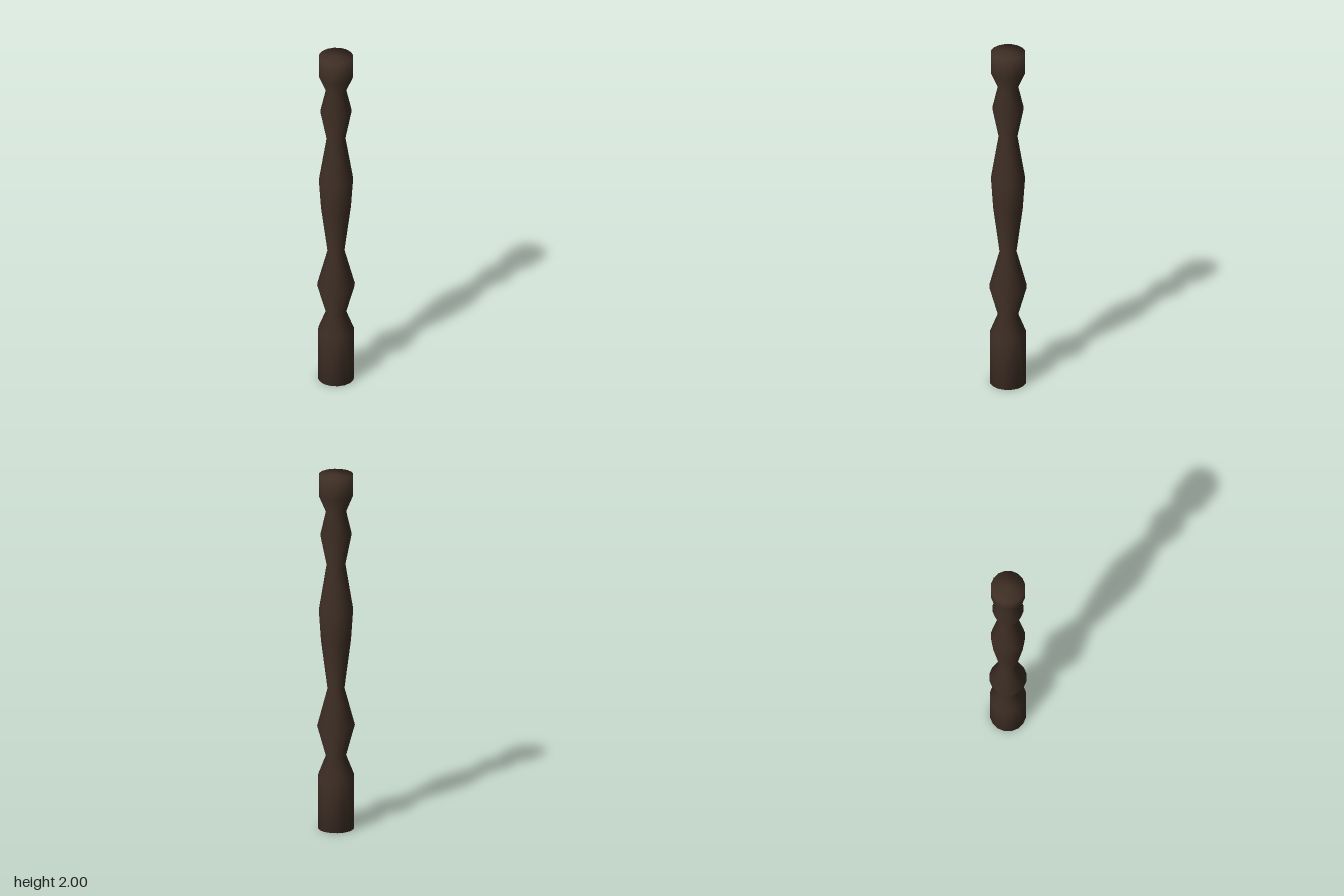
import * as THREE from 'three';

export function createModel() {
  const group = new THREE.Group();
  group.name = 'turnedSpindle';
  const darkWood = new THREE.MeshStandardMaterial({ color: 0x3f2f25 });
  darkWood.name = 'darkWood';

  // Turned profile as [radius, height], from the foot to the top
  const profile = [
    [0, 0], [0.098, 0], [0.098, 0.3], // foot block
    [0.055, 0.41], [0.102, 0.58], [0.046, 0.79], // lower bead
    [0.081, 1.06], [0.093, 1.235], [0.051, 1.49], // long belly
    [0.085, 1.66], [0.055, 1.79], // upper bead
    [0.093, 1.88], [0.093, 2], [0, 2], // top block
  ].map(([r, y]) => new THREE.Vector2(r, y));

  const spindle = new THREE.Mesh(new THREE.LatheGeometry(profile, 16), darkWood);
  spindle.name = 'spindle';
  group.add(spindle);
  return group;
}
